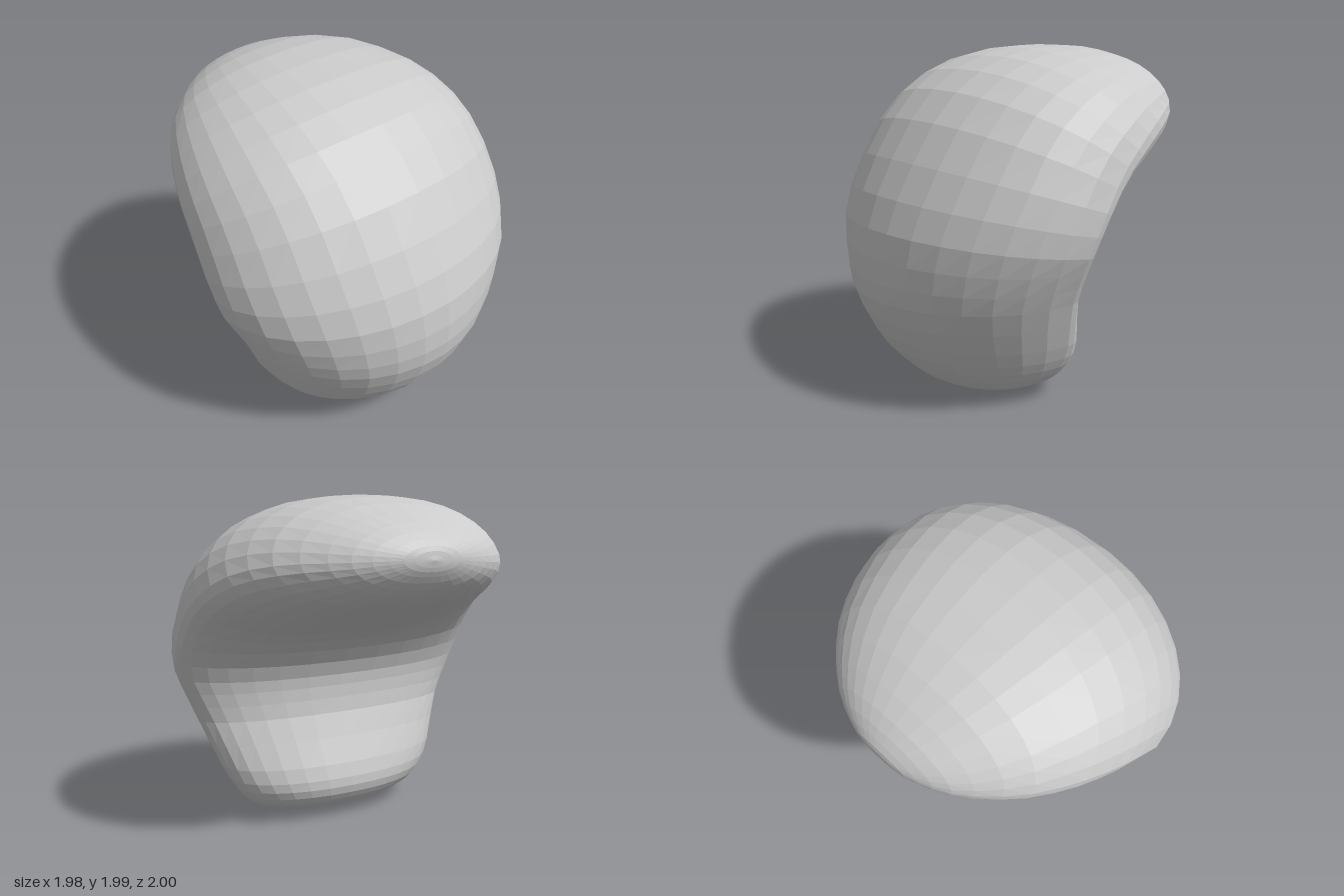
import * as THREE from 'three';

// Stations along the bent body, from the lower tip to the upper back tip:
// [inner z, inner y, outer z, outer y, half width, rim position inner-to-outer, side fullness]
const STATIONS = [
  [0.25, 0.01, 0.25, 0.01, 0, 0.4, 1],
  [0.02, 0.06, 0.42, 0.01, 0.33, 0.4, 1],
  [-0.09, 0.12, 0.6, 0.07, 0.53, 0.38, 1],
  [-0.145, 0.22, 0.75, 0.2, 0.64, 0.33, 1],
  [-0.12, 0.36, 0.88, 0.37, 0.72, 0.28, 1.02],
  [-0.01, 0.64, 0.98, 0.6, 0.825, 0.24, 1.05],
  [0.01, 0.8, 1.0, 0.8, 0.9, 0.23, 1.05],
  [0.0, 0.92, 0.97, 1.05, 0.965, 0.24, 1.02],
  [-0.08, 1.07, 0.84, 1.35, 0.99, 0.26, 0.98],
  [-0.23, 1.19, 0.62, 1.68, 0.97, 0.3, 0.94],
  [-0.4, 1.27, 0.35, 1.88, 0.93, 0.34, 0.9],
  [-0.6, 1.36, 0.0, 1.98, 0.84, 0.38, 0.88],
  [-0.76, 1.43, -0.45, 1.985, 0.68, 0.42, 0.9],
  [-0.9, 1.52, -0.8, 1.885, 0.44, 0.45, 0.95],
  [-0.975, 1.62, -0.962, 1.775, 0.2, 0.47, 1],
  [-0.995, 1.69, -0.995, 1.69, 0, 0.47, 1],
];
const RINGS = 34, SIDES = 32;

// Smooth curves through the inner outline, the outer outline and the section values
const curve = (pick) => new THREE.CatmullRomCurve3(STATIONS.map((s) => new THREE.Vector3(...pick(s))), false, 'catmullrom', 0.5);
const inner = curve((s) => [0, s[1], s[0]]);
const outer = curve((s) => [0, s[3], s[2]]);
const section = curve((s) => [s[4], s[5], s[6]]);

function bodyGeometry() {
  const positions = [], index = [];
  for (let i = 0; i <= RINGS; i++) {
    // rings gather slightly towards both tips to round them
    const u = i / RINGS, t = u - Math.sin(u * Math.PI * 2) * 0.06;
    const back = inner.getPoint(t), front = outer.getPoint(t), { x: width, y: rim, z: power } = section.getPoint(t);
    const edge = back.clone().lerp(front, rim);
    for (let j = 0; j < SIDES; j++) {
      const a = (j / SIDES) * Math.PI * 2, c = Math.cos(a), s = Math.sin(a);
      // domed outer face, flatter inner face
      const p = edge.clone().lerp(s > 0 ? front : back, Math.abs(s));
      const x = width * Math.sign(c) * Math.pow(Math.abs(c), s > 0 ? power : 0.9);
      positions.push(x, p.y, p.z);
    }
  }
  for (let i = 0; i < RINGS; i++) {
    for (let j = 0; j < SIDES; j++) {
      const k = (j + 1) % SIDES;
      const a = i * SIDES + j, b = i * SIDES + k, c = a + SIDES, d = b + SIDES;
      if (i > 0) index.push(a, c, b);
      if (i < RINGS - 1) index.push(b, c, d);
    }
  }
  const geometry = new THREE.BufferGeometry();
  geometry.setAttribute('position', new THREE.Float32BufferAttribute(positions, 3));
  geometry.setIndex(index);
  geometry.computeVertexNormals();
  return geometry;
}

export function createModel() {
  const group = new THREE.Group();
  group.name = 'curvedShell';
  const body = new THREE.Mesh(bodyGeometry(), new THREE.MeshStandardMaterial({ color: 0xcccccc, flatShading: true }));
  body.name = 'curvedBody';
  group.add(body);
  return group;
}
